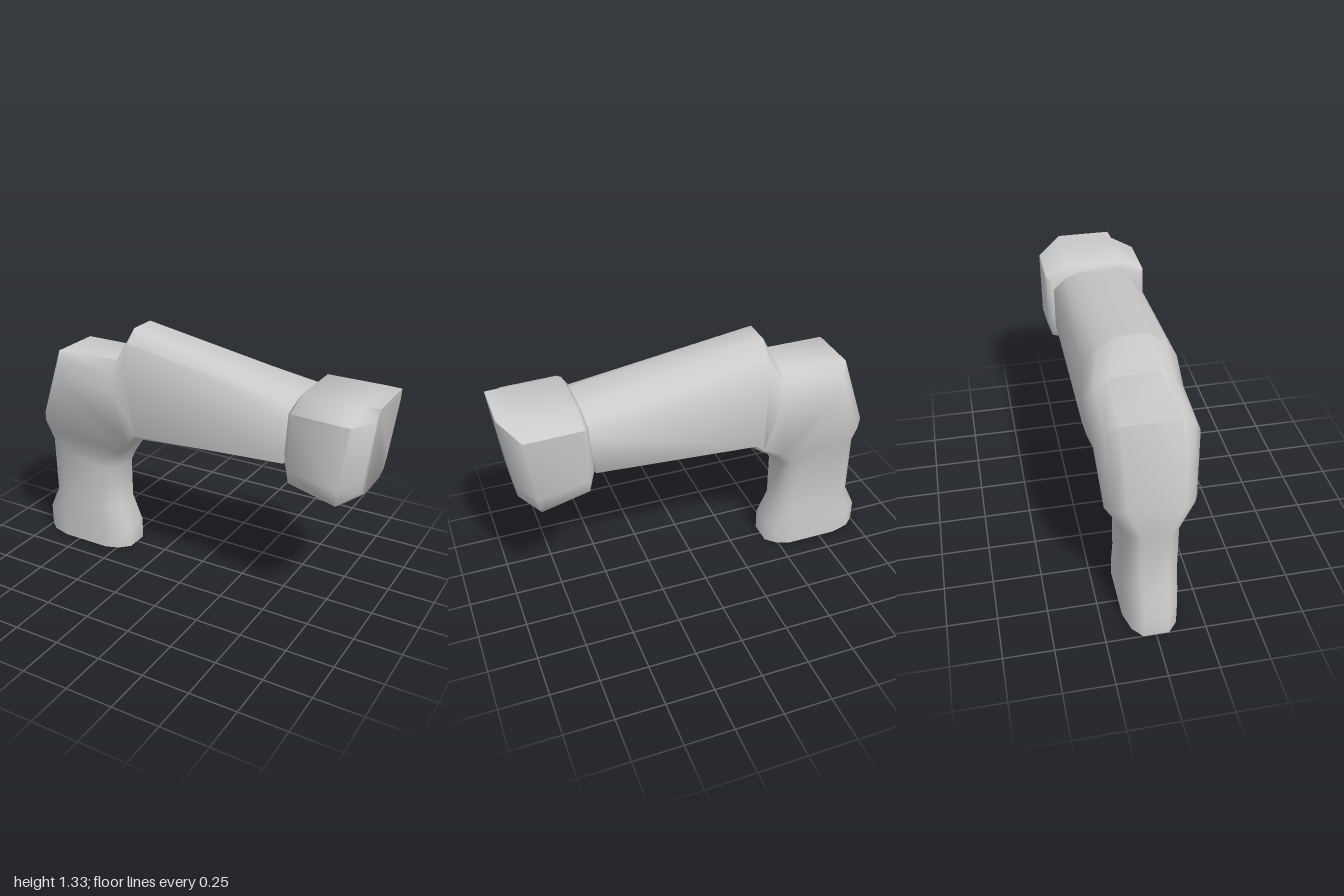
import * as THREE from 'three';
import { toCreasedNormals } from 'three/addons/utils/BufferGeometryUtils.js';

// Cross-section between an upper/back point a and a lower/front point b (both [x, y]).
// half: list of [t from a to b, z] for the +z side; mirrored for the -z side.
function section(a, b, half) {
  const at = (t, z) => [a[0] + (b[0] - a[0]) * t, a[1] + (b[1] - a[1]) * t, z];
  const near = half.map(([t, z]) => at(t, z));
  const far = half.map(([t, z]) => at(t, -z)).reverse();
  return [...near, ...far];
}

// Skin a list of sections with equal point counts and cap both ends.
function loft(name, sections, crease) {
  const n = sections[0].length;
  const pos = sections.flat(2);
  const index = [];
  for (let i = 0; i < sections.length - 1; i++) {
    for (let j = 0; j < n; j++) {
      const k = (j + 1) % n;
      const p = i * n + j, q = i * n + k;
      index.push(p, q, q + n, p, q + n, p + n);
    }
  }
  const last = (sections.length - 1) * n;
  for (let j = 1; j < n - 1; j++) {
    index.push(0, j + 1, j);
    index.push(last, last + j, last + j + 1);
  }
  const geo = new THREE.BufferGeometry();
  geo.setAttribute('position', new THREE.Float32BufferAttribute(pos, 3));
  geo.setIndex(index);
  const mesh = new THREE.Mesh(
    toCreasedNormals(geo, crease),
    new THREE.MeshStandardMaterial({ color: 0xcccccc })
  );
  mesh.name = name;
  return mesh;
}

// Rounded limb outline: half widths wa / wb, flat share of the top, t where the lower chamfer begins
const limb = (a, b, wa, wb, flat, low) => section(a, b, [
  [0, wa * flat],
  [0.1, wa * (flat + 1) / 2 + 0.01],
  [0.28, wa],
  [low, wb],
  [(low + 1) / 2 + 0.02, wb * 0.8],
  [1, wb * 0.45],
]);

// Boxier outline of the end block
const block = (a, b, w, flat) => section(a, b, [
  [0, w * flat],
  [0.13, w],
  [0.77, w],
  [0.94, w * 0.92],
  [1, w * 0.6],
]);

export function createModel() {
  const model = new THREE.Group();

  // Foot, upright handle, bend and tapering arm in one continuous skin
  model.add(loft('handleAndArm', [
    limb([-1, 0], [-0.44, 0], 0.14, 0.14, 0.46, 0.78),
    limb([-1, 0.12], [-0.44, 0.12], 0.14, 0.14, 0.46, 0.78),
    limb([-0.94, 0.25], [-0.5, 0.25], 0.14, 0.14, 0.46, 0.78),
    limb([-0.94, 0.6], [-0.5, 0.49], 0.14, 0.14, 0.5, 0.8),
    limb([-0.94, 0.76], [-0.475, 0.545], 0.22, 0.14, 0.6, 0.85),
    limb([-0.805, 1.148], [-0.44, 0.61], 0.25, 0.16, 0.56, 0.92),
    limb([-0.44, 1.155], [-0.32, 0.715], 0.245, 0.215, 0.5, 0.93),
    limb([-0.36, 1.325], [-0.27, 0.755], 0.225, 0.23, 0.33, 0.93),
    limb([0.6, 1.152], [0.57, 0.833], 0.235, 0.235, 0.4, 0.95),
  ], 1.0));

  // Flared block on the end of the arm
  model.add(loft('endBlock', [
    block([0.597, 1.155], [0.575, 0.83], 0.24, 0.55),
    block([0.62, 1.185], [0.61, 0.735], 0.272, 0.55),
    block([0.92, 1.185], [0.85, 0.67], 0.272, 0.55),
    block([1, 1.185], [0.94, 0.72], 0.16, 0.9),
  ], 1.05));

  return model;
}
